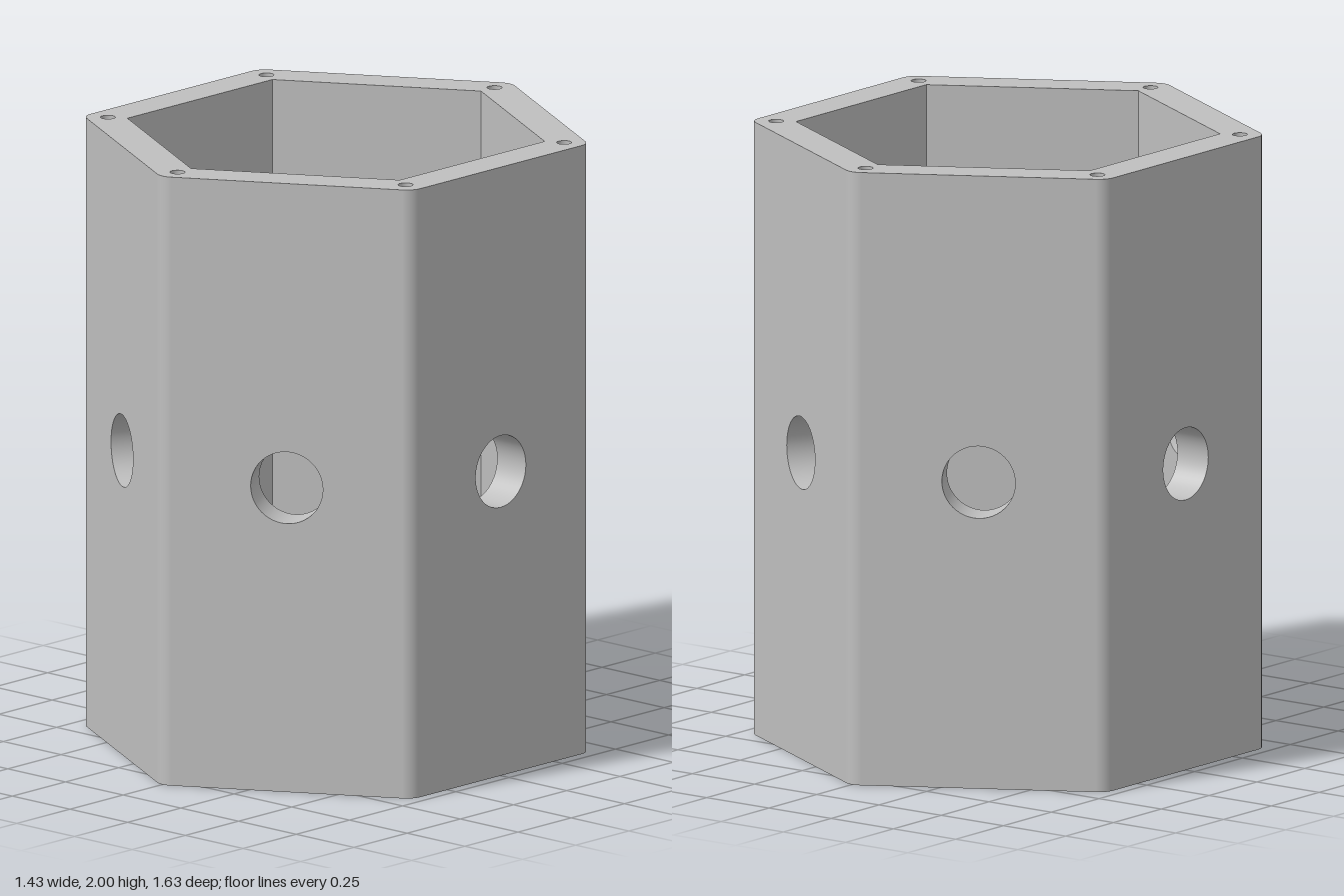
import * as THREE from 'three';

const HEIGHT = 2;
const OUTER = 0.714;        // centre to outer flat
const INNER = 0.59;         // centre to inner flat
const CORNER_R = 0.06;
const PORT_R = 0.118;       // large hole in each wall
const SCREW_R = 0.024;      // small holes in the rims
const SCREW_DIST = 0.745;
const SCREW_DEPTH = 0.25;
const SEGS = 48;
const STEP = Math.PI / 3;
const SEC = 2 / Math.sqrt(3);

const arc = (cx, cy, r, start, sweep, n) => Array.from({ length: n + 1 }, (_, i) => {
  const a = start + (sweep * i) / n;
  return new THREE.Vector2(cx + r * Math.cos(a), cy + r * Math.sin(a));
});
const circlePath = (x, y, r, n) => new THREE.Path(arc(x, y, r, 0, Math.PI * 2, n).slice(0, n));

function rectangle(width, height) {
  const s = new THREE.Shape();
  s.moveTo(-width / 2, -height / 2);
  s.lineTo(width / 2, -height / 2);
  s.lineTo(width / 2, height / 2);
  s.lineTo(-width / 2, height / 2);
  s.closePath();
  return s;
}

// Open cylinder whose surface faces its own axis
function boreGeometry(radius, depth, segs) {
  const g = new THREE.CylinderGeometry(radius, radius, depth, segs, 1, true);
  g.setIndex(Array.from(g.index.array).reverse());
  const n = g.attributes.normal;
  for (let i = 0; i < n.count; i++) n.setXYZ(i, -n.getX(i), -n.getY(i), -n.getZ(i));
  return g;
}

// Hexagonal ring with rounded outside corners and six screw holes
function rimGeometry() {
  const centre = OUTER * SEC - CORNER_R * SEC;
  const outline = [], inside = [], holes = [];
  for (let i = 0; i < 6; i++) {
    const a = Math.PI / 2 + i * STEP, c = Math.cos(a), s = Math.sin(a);
    outline.push(...arc(c * centre, s * centre, CORNER_R, a - STEP / 2, STEP, 10));
    inside.push(new THREE.Vector2(c * INNER * SEC, s * INNER * SEC));
    holes.push(circlePath(c * SCREW_DIST, s * SCREW_DIST, SCREW_R, 24));
  }
  const shape = new THREE.Shape(outline);
  shape.holes.push(new THREE.Path(inside), ...holes);
  return new THREE.ShapeGeometry(shape);
}

export function createModel() {
  const grey = new THREE.MeshStandardMaterial({ color: 0xbfbfbf });
  grey.name = 'light grey';
  const model = new THREE.Group();
  model.name = 'hexagonalHousing';
  const add = (parent, geometry, name, x = 0, y = 0, z = 0) => {
    const mesh = new THREE.Mesh(geometry, grey);
    mesh.name = name;
    mesh.position.set(x, y, z);
    parent.add(mesh);
    return mesh;
  };

  // Shared wall geometries
  const panel = (width) => {
    const s = rectangle(width, HEIGHT);
    s.holes.push(circlePath(0, 0, PORT_R, SEGS));
    return new THREE.ShapeGeometry(s);
  };
  const outerPanel = panel(2 * (OUTER - CORNER_R) / Math.sqrt(3));
  const innerPanel = panel(INNER * SEC).rotateY(Math.PI);
  const port = boreGeometry(PORT_R, OUTER - INNER, SEGS).rotateX(Math.PI / 2).rotateZ(Math.PI / 2);
  const corner = new THREE.CylinderGeometry(CORNER_R, CORNER_R, HEIGHT, 10, 1, true, -STEP / 2, STEP);
  const screwBore = boreGeometry(SCREW_R, SCREW_DEPTH, 24);
  const floorUp = new THREE.CircleGeometry(SCREW_R, 24).rotateX(-Math.PI / 2);
  const floorDown = new THREE.CircleGeometry(SCREW_R, 24).rotateX(Math.PI / 2);

  for (let i = 0; i < 6; i++) {
    // Wall with a round port through it
    const wall = new THREE.Group();
    wall.name = 'wall' + (i + 1);
    wall.rotation.y = (i + 0.5) * STEP;
    add(wall, outerPanel, 'outerFace', 0, HEIGHT / 2, OUTER);
    add(wall, innerPanel, 'innerFace', 0, HEIGHT / 2, INNER);
    add(wall, port, 'port', 0, HEIGHT / 2, (OUTER + INNER) / 2);
    model.add(wall);

    // Rounded corner with blind screw holes at both ends
    const post = new THREE.Group();
    post.name = 'corner' + (i + 1);
    post.rotation.y = i * STEP;
    add(post, corner, 'roundedEdge', 0, HEIGHT / 2, (OUTER - CORNER_R) * SEC);
    add(post, screwBore, 'topScrewHole', 0, HEIGHT - SCREW_DEPTH / 2, SCREW_DIST);
    add(post, floorUp, 'topScrewHoleFloor', 0, HEIGHT - SCREW_DEPTH, SCREW_DIST);
    add(post, screwBore, 'bottomScrewHole', 0, SCREW_DEPTH / 2, SCREW_DIST);
    add(post, floorDown, 'bottomScrewHoleFloor', 0, SCREW_DEPTH, SCREW_DIST);
    model.add(post);
  }

  // End rims
  add(model, rimGeometry().rotateX(-Math.PI / 2), 'topRim', 0, HEIGHT, 0);
  add(model, rimGeometry().rotateX(Math.PI / 2), 'bottomRim');
  return model;
}
